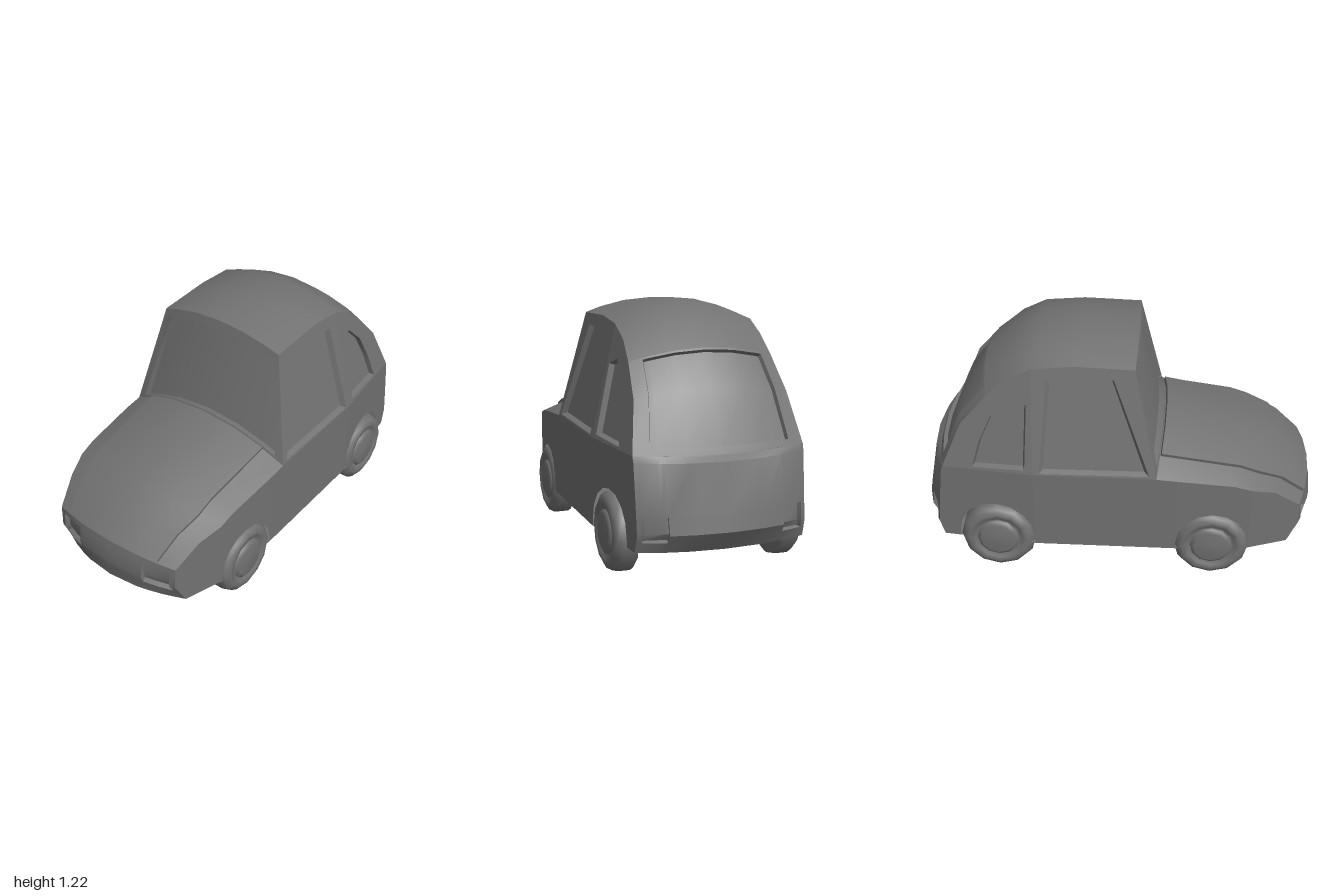
import * as THREE from 'three';
import { toCreasedNormals } from 'three/addons/utils/BufferGeometryUtils.js';

const paint = new THREE.MeshStandardMaterial({ color: 0x727272, side: THREE.DoubleSide });
const rubber = new THREE.MeshStandardMaterial({ color: 0x727272 });
const EPS = 0.004;

// Half width of the body: leans in above the belt line, tapers to nose and tail
const halfWidth = (z, y) => 0.46 - 0.222 * Math.max(0, y - 0.6)
  - 0.06 * Math.max(0, z - 0.3) - 0.26 * Math.max(0, z - 0.665) - 0.11 * Math.max(0, -0.4 - z);

// Rows across the body: [edge z, edge y, centre z, centre y]
const noseLow = [0.86, 0.18, 0.975, 0.21], noseTop = [0.91, 0.40, 0.965, 0.425];
const cowl = [0.2, 0.6, 0.23, 0.735], roofFront = [0.09, 1.14, 0.1, 1.205];
const roofRear = [-0.62, 0.98, -0.66, 1.035], tailTop = [-0.85, 0.6, -0.905, 0.59];
const tailLow = [-0.87, 0.17, -0.93, 0.165];
const nose = [noseLow, [0.915, 0.29, 0.99, 0.32], noseTop];
const hood = [noseTop, [0.78, 0.50, 0.85, 0.53], [0.665, 0.535, 0.74, 0.595], [0.58, 0.56, 0.64, 0.64], cowl];
const windshield = [cowl, roofFront];
const roof = [roofFront, [-0.2, 1.15, -0.17, 1.227], [-0.4, 1.13, -0.38, 1.215], [-0.52, 1.07, -0.52, 1.15], roofRear];
const hatch = [roofRear, [-0.75, 0.83, -0.79, 0.88], tailTop];
const tail = [tailTop, [-0.86, 0.57, -0.94, 0.565], [-0.885, 0.35, -0.985, 0.34], [-0.895, 0.25, -1, 0.26], tailLow];
const floor = [tailLow, [-0.4, 0.17, -0.4, 0.17], [0.3, 0.17, 0.3, 0.17], [0.665, 0.175, 0.665, 0.175], noseLow];

// Crowned point at u (-1..1 across) and v (row number)
function skinPoint(rows, u, v) {
  const i = Math.min(Math.floor(v), rows.length - 2), f = v - i;
  const a = rows[i], b = rows[i + 1];
  const [ez, ey, cz, cy] = a.map((n, k) => THREE.MathUtils.lerp(n, b[k], f));
  const w = THREE.MathUtils.lerp(halfWidth(a[0], a[1]), halfWidth(b[0], b[1]), f);
  const crown = 1 - u * u;
  return new THREE.Vector3(u * w, ey + (cy - ey) * crown, ez + (cz - ez) * crown);
}

// Panel through the rows; insets are [u0, u1, v0, v1, depth] (negative = raised)
function skin(name, rows, insets = []) {
  const us = [-1, -0.75, -0.4, 0, 0.4, 0.75, 1], vs = rows.map((_, i) => i);
  for (const [u0, u1, v0, v1] of insets) {
    us.push(u0 - EPS, u0 + EPS, u1 - EPS, u1 + EPS);
    vs.push(v0 - EPS, v0 + EPS, v1 - EPS, v1 + EPS);
  }
  const tidy = (list) => [...new Set(list)].sort((a, b) => a - b);
  const U = tidy(us), V = tidy(vs), pos = [], index = [];
  V.forEach((v, j) => U.forEach((u, i) => {
    const p = skinPoint(rows, u, v);
    const hit = insets.find(([u0, u1, v0, v1]) => u > u0 && u < u1 && v > v0 && v < v1);
    if (hit) {
      const h = 0.01;
      const du = skinPoint(rows, u + h, v).sub(skinPoint(rows, u - h, v));
      const dv = skinPoint(rows, u, v + h).sub(skinPoint(rows, u, v - h));
      p.addScaledVector(du.cross(dv).normalize(), -hit[4]);
    }
    pos.push(p.x, p.y, p.z);
    if (i && j) {
      const d = j * U.length + i, c = d - 1, b = d - U.length, a = b - 1;
      index.push(a, b, d, a, d, c);
    }
  }));
  return finish(name, pos, index);
}

function finish(name, pos, index) {
  const g = new THREE.BufferGeometry();
  g.setAttribute('position', new THREE.Float32BufferAttribute(pos, 3));
  g.setIndex(index);
  const mesh = new THREE.Mesh(toCreasedNormals(g, 0.55), paint);
  mesh.name = name;
  return mesh;
}

// Flat side panel drawn as (z, y), bent onto the body side
function sidePanel(name, s, outline, hole, inset = 0) {
  const pts = (list) => list.map(([z, y]) => new THREE.Vector2(z, y));
  const shape = new THREE.Shape(pts(outline));
  if (hole) shape.holes.push(new THREE.Path(pts(hole)));
  const g = new THREE.ShapeGeometry(shape), p = g.attributes.position, pos = [];
  for (let i = 0; i < p.count; i++) {
    const z = p.getX(i), y = p.getY(i);
    pos.push(s * (halfWidth(z, y) - inset), y, z);
  }
  const index = [...g.index.array];
  return finish(name, pos, s > 0 ? index.reverse() : index);
}

// Recessed side window: sloping rim and glass
function sideWindow(name, s, hole) {
  const group = new THREE.Group();
  group.name = name;
  const n = hole.length;
  const mz = hole.reduce((a, p) => a + p[0], 0) / n, my = hole.reduce((a, p) => a + p[1], 0) / n;
  const glass = hole.map(([z, y]) => [mz + (z - mz) * 0.92, my + (y - my) * 0.95]);
  const pos = [], index = [];
  hole.forEach(([z, y], i) => {
    const [gz, gy] = glass[i], j = (i + 1) % n;
    pos.push(s * halfWidth(z, y), y, z, s * (halfWidth(gz, gy) - 0.025), gy, gz);
    const quad = [2 * i, 2 * i + 1, 2 * j + 1, 2 * i, 2 * j + 1, 2 * j];
    index.push(...(s > 0 ? quad : quad.reverse()));
  });
  group.add(finish('windowRim', pos, index), sidePanel('windowGlass', s, glass, null, 0.025));
  return group;
}

// Wheel arch from back to front along the sill
function arch(cz, r) {
  const list = [[cz - r, 0.172]];
  for (let i = 8; i >= 0; i--) {
    const a = (i / 8) * Math.PI;
    list.push([cz + r * Math.cos(a), 0.205 + r * Math.sin(a)]);
  }
  return [...list, [cz + r, 0.172]];
}

function wheel(name, s, z) {
  // Tyre and domed hub, turned about the axle
  const profile = [[0, 0.35], [0.14, 0.35], [0.18, 0.352], [0.19, 0.37], [0.19, 0.425], [0.175, 0.452],
    [0.15, 0.466], [0.125, 0.462], [0.108, 0.445], [0.104, 0.458], [0.085, 0.47], [0, 0.474]];
  const g = new THREE.LatheGeometry(profile.map(([r, x]) => new THREE.Vector2(r, x - 0.41)), 12);
  const mesh = new THREE.Mesh(g, rubber);
  mesh.name = name;
  mesh.rotation.z = -s * Math.PI / 2;
  mesh.position.set(s * 0.41, 0.195, z);
  return mesh;
}

export function createModel() {
  const car = new THREE.Group();
  car.name = 'car';
  const lamps = (u0, u1, v0, v1, d) => [[u0, u1, v0, v1, d], [-u1, -u0, v0, v1, d]];

  // Panels running across the body
  car.add(
    skin('nose', nose, lamps(0.54, 0.92, 0.6, 1.75, 0.025)),
    skin('hood', hood, [[-0.75, 0.75, 0.06, 3.99, -0.018]]),
    skin('windshield', windshield, [[-0.9, 0.9, 0.03, 0.91, 0.03]]),
    skin('roof', roof),
    skin('rearWindow', hatch, [[-0.82, 0.82, 0.06, 1.88, 0.02]]),
    skin('tail', tail, lamps(0.68, 0.94, 2.1, 3.4, 0.02)),
    skin('floor', floor),
  );

  // Sides, windows and wheels
  const edge = (rows) => rows.map(([z, y]) => [z, y]);
  const doorWindow = [[0.165, 0.612], [-0.01, 1.09], [-0.33, 1.075], [-0.37, 0.608]];
  const quarterWindow = [[-0.44, 0.62], [-0.425, 0.95], [-0.5, 0.98], [-0.6, 0.88], [-0.66, 0.75], [-0.7, 0.612]];
  for (const [s, side] of [[1, 'left'], [-1, 'right']]) {
    car.add(
      sidePanel(side + 'NoseCorner', s, [[0.665, 0.175], ...edge(nose), ...edge(hood).slice(1, 3)]),
      sidePanel(side + 'FrontFender', s, [[0.3, 0.59], [0.3, 0.17], ...arch(0.48, 0.179),
        [0.665, 0.175], ...edge(hood).slice(2, 4)]),
      sidePanel(side + 'LowerDoor', s, [[0.3, 0.59], [0.2, 0.6], [-0.4, 0.6], [-0.4, 0.17], [0.3, 0.17]]),
      sidePanel(side + 'RearFender', s, [[-0.4, 0.6], ...edge(tail), ...arch(-0.595, 0.193), [-0.4, 0.17]]),
      sidePanel(side + 'DoorFrame', s, [[0.2, 0.6], ...edge(roof).slice(0, 3), [-0.4, 0.6]], doorWindow),
      sidePanel(side + 'RearPillar', s, [[-0.4, 0.6], ...edge(roof).slice(2), ...edge(hatch).slice(1)], quarterWindow),
      sideWindow(side + 'DoorWindow', s, doorWindow),
      sideWindow(side + 'QuarterWindow', s, quarterWindow),
      wheel(side + 'FrontWheel', s, 0.48),
      wheel(side + 'RearWheel', s, -0.59),
    );
  }
  return car;
}
